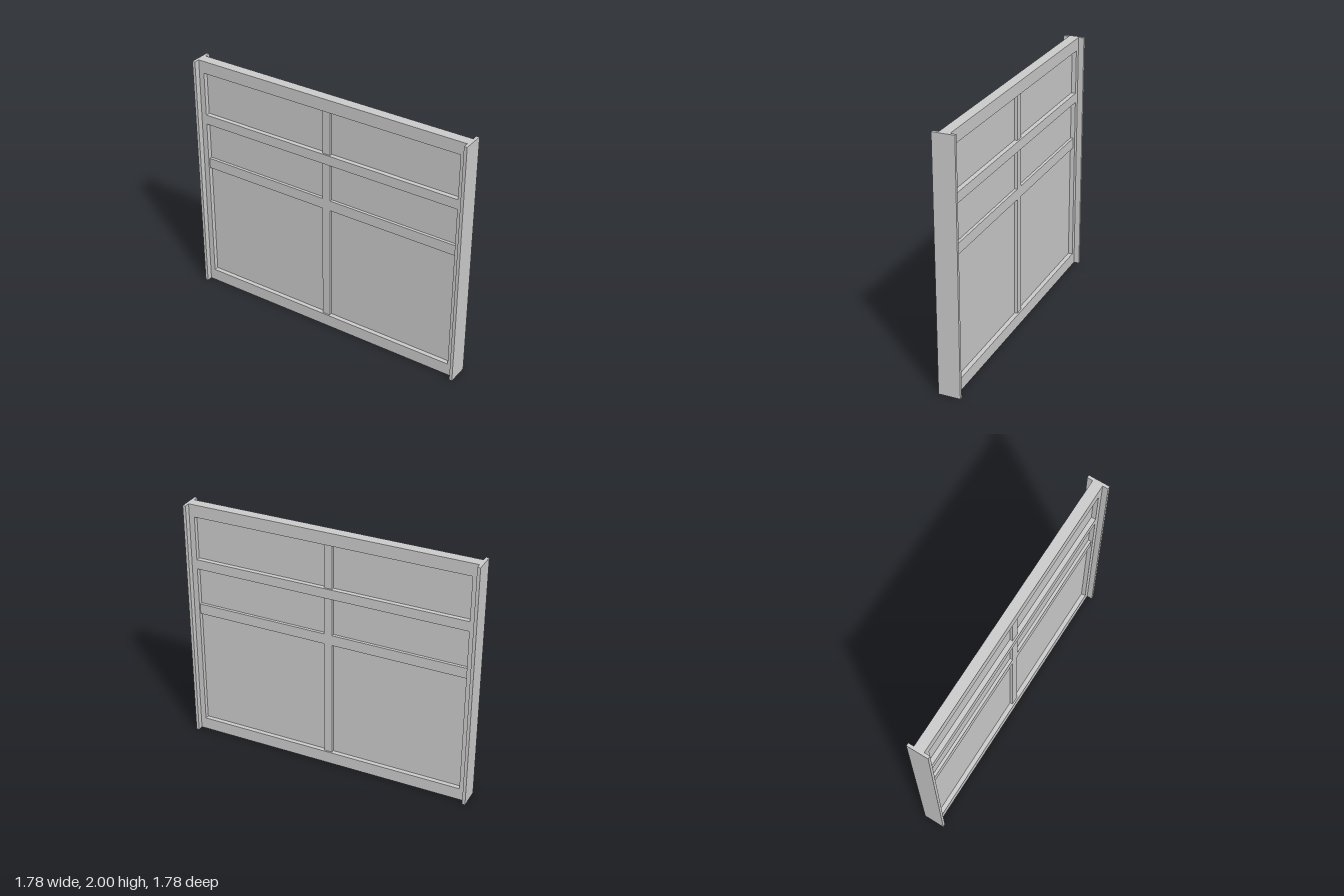
import * as THREE from 'three';

export function createModel() {
  const group = new THREE.Group();
  group.name = 'panelWall';
  const grey = new THREE.MeshStandardMaterial({ color: 0xcccccc });
  grey.name = 'light grey';

  // Box given by its ranges along the wall (x), in height (y) and its half depth
  function block(name, x0, x1, y0, y1, half) {
    const mesh = new THREE.Mesh(new THREE.BoxGeometry(x1 - x0, y1 - y0, half * 2), grey);
    mesh.name = name;
    mesh.position.set((x0 + x1) / 2, (y0 + y1) / 2, 0);
    wall.add(mesh);
  }

  // The wall stands diagonally across the plan
  const wall = new THREE.Group();
  wall.name = 'wall';
  wall.rotation.y = -Math.PI / 4;
  group.add(wall);

  const END = 1.15, OPEN = 1.106, OUTER = 1.174;
  const DEEP = 0.041, MID = 0.028, THIN = 0.005, FLANGE = 0.086;

  // Thin infill panels, split where the rails cross
  for (const [y0, y1] of [[0.1, 1.07], [1.155, 1.466], [1.545, 1.9]]) {
    block('infillPanel', -OPEN, -0.033, y0, y1, THIN);
    block('infillPanel', 0.033, OPEN, y0, y1, THIN);
    block('mullion', -0.033, 0.033, y0, y1, MID);
  }

  // Horizontal rails
  block('bottomRail', -OPEN, OPEN, 0, 0.1, DEEP);
  block('middleRail', -OPEN, OPEN, 1.07, 1.155, MID);
  block('upperRail', -OPEN, OPEN, 1.466, 1.545, DEEP);
  block('topRail', -OPEN, OPEN, 1.9, 2, DEEP);

  // Side stiles and wide end flanges
  block('rightStile', -END, -OPEN, 0, 2, DEEP);
  block('leftStile', OPEN, END, 0, 2, DEEP);
  block('rightFlange', -OUTER, -END, 0, 2, FLANGE);
  block('leftFlange', END, OUTER, 0, 2, FLANGE);

  return group;
}
